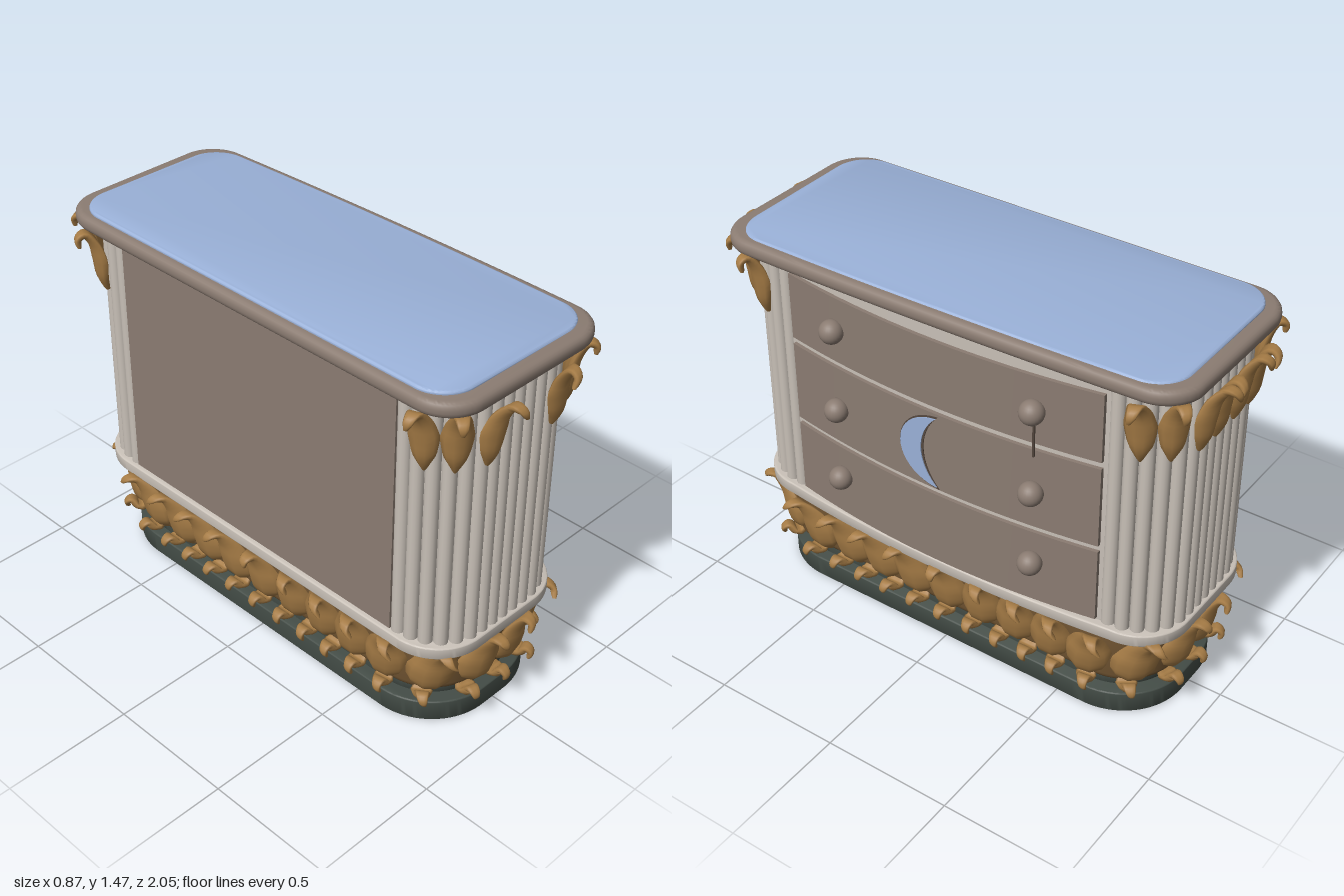
import * as THREE from 'three';
import { toCreasedNormals } from 'three/addons/utils/BufferGeometryUtils.js';

const paint = (name, color) => {
  const m = new THREE.MeshStandardMaterial({ color });
  m.name = name;
  return m;
};
const ivory = paint('ivory paint', 0xc8c0b7);
const taupe = paint('taupe wood', 0x8b7c72);
const gold = paint('antique gold', 0xa67c46);
const shade = paint('dark gold', 0x6e5230);
const blue = paint('pale blue', 0x9ab1d8);
const green = paint('dark green', 0x434c46);
const dark = paint('dark brown', 0x55483f);

const add = (parent, name, geometry, material) => {
  const m = new THREE.Mesh(geometry, material);
  m.name = name;
  parent.add(m);
  return m;
};

// Rounded plan outline in x and z, optionally bowed on the +x side
function outline(x0, x1, hz, r, bow = 0) {
  const c = hz - r, s = new THREE.Shape();
  s.moveTo(x1 + bow, 0);
  s.quadraticCurveTo(x1 + bow, c / 2, x1, c);
  s.absarc(x1 - r, c, r, 0, Math.PI / 2);
  s.lineTo(x0 + r, hz);
  s.absarc(x0 + r, c, r, Math.PI / 2, Math.PI);
  s.lineTo(x0, -c);
  s.absarc(x0 + r, -c, r, Math.PI, Math.PI * 1.5);
  s.lineTo(x1 - r, -hz);
  s.absarc(x1 - r, -c, r, -Math.PI / 2, 0);
  s.quadraticCurveTo(x1 + bow, -c / 2, x1 + bow, 0);
  return s;
}

// Horizontal plate from y0 to y1 with a rounded edge
function plate(shape, y0, y1, b = 0.006) {
  const g = new THREE.ExtrudeGeometry(shape, {
    depth: y1 - y0 - 2 * b, bevelEnabled: true, bevelSize: b, bevelThickness: b,
    bevelOffset: -b, bevelSegments: 4, curveSegments: 14,
  });
  g.rotateX(Math.PI / 2).translate(0, y1 - b, 0);
  return toCreasedNormals(g, 0.6);
}

// Points spaced along an outline, with the outward heading of each
function around(shape, n) {
  const p = shape.getSpacedPoints(n).slice(0, n);
  return p.map((q, i) => {
    const t = p[(i + 1) % n].clone().sub(p[(i + n - 1) % n]);
    return { x: q.x, z: q.y, turn: Math.atan2(t.y, -t.x) };
  });
}

// Cupped leaf lofted along a spine of [out, up, half width]
function leaf(spine, lean = 0, cup = 0.35) {
  const curve = new THREE.CatmullRomCurve3(spine.map(([o, u]) => new THREE.Vector3(0, u, o)));
  const K = 20, M = 10, pos = [], idx = [];
  for (let i = 0; i <= K; i++) {
    const t = i / K, p = curve.getPoint(t), d = curve.getTangent(t);
    const f = Math.min(t * (spine.length - 1), spine.length - 1.001), k = Math.floor(f);
    const w = THREE.MathUtils.lerp(spine[k][2], spine[k + 1][2], f - k);
    const thick = Math.min(w, 0.2 * w + 0.009);
    for (let j = 0; j < M; j++) {
      const a = (j / M) * Math.PI * 2, c = Math.cos(a);
      const n = thick * Math.sin(a) - cup * w * c * c;
      pos.push(w * c + lean * t * t, p.y - d.z * n, p.z + d.y * n);
      if (i < K) {
        const A = i * M + j, B = i * M + (j + 1) % M;
        idx.push(A, A + M, B, B, A + M, B + M);
      }
    }
  }
  const g = new THREE.BufferGeometry();
  g.setAttribute('position', new THREE.Float32BufferAttribute(pos, 3));
  g.setIndex(idx);
  g.computeVertexNormals();
  return g;
}

// Block following the bowed drawer front, with its face at x
function bowed(x, depth, y0, y1, hz) {
  const g = new THREE.BoxGeometry(depth, y1 - y0, hz * 2, 1, 1, 24).translate(x - depth / 2, (y0 + y1) / 2, 0);
  const p = g.attributes.position;
  for (let i = 0; i < p.count; i++) p.setX(i, p.getX(i) - 0.14 * p.getZ(i) ** 2);
  g.computeVertexNormals();
  return toCreasedNormals(g, 0.6);
}

function crescent(grow, depth) {
  const s = new THREE.Shape(), g = grow;
  s.moveTo(0.03 + g, 1.05 + g);
  s.bezierCurveTo(-0.175 - g, 1.03 + g, -0.175 - g, 0.78 - g, 0.03 + g, 0.76 - g);
  s.bezierCurveTo(-0.057 + g, 0.84, -0.057 + g, 0.97, 0.03 + g, 1.05 + g);
  return new THREE.ExtrudeGeometry(s, { depth, bevelEnabled: false, curveSegments: 20 }).rotateY(Math.PI / 2);
}

export function createModel() {
  const model = new THREE.Group();
  model.name = 'chest of drawers';
  const group = (name) => {
    const g = new THREE.Group();
    g.name = name;
    model.add(g);
    return g;
  };

  // Plinth and the core behind the petals
  add(model, 'plinth', plate(outline(-0.32, 0.32, 0.87, 0.26), 0, 0.085), green);
  add(model, 'plinthStep', plate(outline(-0.27, 0.27, 0.82, 0.22), 0.08, 0.14), green);
  add(model, 'petalCore', plate(outline(-0.3, 0.3, 0.85, 0.22), 0.13, 0.372, 0.03), shade);

  // Petal rings, leaning away from the middle of each side
  const petalRing = (name, n, spine, lean) => {
    const g = group(name);
    for (const p of around(outline(-0.25, 0.25, 0.8, 0.18), n)) {
      const side = Math.cos(p.turn) * p.x - Math.sin(p.turn) * p.z;
      const m = add(g, 'petal', leaf(spine, lean * Math.tanh(6 * side)), gold);
      m.position.set(p.x, 0, p.z);
      m.rotation.y = p.turn;
    }
  };
  petalRing('largePetals', 26, [[0.02, 0.13, 0.05], [0.062, 0.18, 0.085], [0.08, 0.25, 0.092],
    [0.095, 0.315, 0.062], [0.125, 0.36, 0.03], [0.152, 0.355, 0.02], [0.155, 0.33, 0.008]], 0.09);
  petalRing('smallPetals', 32, [[0.02, 0.16, 0.025], [0.055, 0.125, 0.04], [0.082, 0.13, 0.035],
    [0.1, 0.152, 0.025], [0.118, 0.14, 0.017], [0.112, 0.115, 0.006]], 0.02);

  // Body, bottom trim and flat back panel
  add(model, 'body', plate(outline(-0.32, 0.295, 0.88, 0.18), 0.38, 1.41), ivory);
  add(model, 'bottomTrim', plate(outline(-0.36, 0.335, 0.915, 0.2, 0.045), 0.367, 0.415), ivory);
  add(model, 'backPanel', new THREE.BoxGeometry(0.05, 0.985, 1.33).translate(-0.317, 0.9075, 0), taupe);

  // Reeded ends and corners
  const reeds = group('reeds');
  const reed = new THREE.CylinderGeometry(0.026, 0.026, 1.0, 14, 1, true);
  for (const p of around(outline(-0.32, 0.295, 0.88, 0.18), 84)) {
    if (Math.abs(p.z) < 0.675) continue;
    add(reeds, 'reed', reed, ivory).position.set(p.x, 0.905, p.z);
  }

  // Drawers in their bowed frame
  add(model, 'drawerFrame', bowed(0.372, 0.12, 0.4, 1.405, 0.675), ivory);
  const drawers = group('drawers');
  const rows = [[0.425, 0.722, 0.6], [0.748, 1.068, 0.9], [1.095, 1.358, 1.23]];
  for (const [y0, y1, knobY] of rows) {
    add(drawers, 'drawer', bowed(0.386, 0.08, y0, y1, 0.652), taupe);
    for (const z of [-0.415, 0.42]) {
      add(drawers, 'knob', new THREE.SphereGeometry(0.045, 24, 16), taupe).position.set(0.381, knobY, z);
    }
  }
  add(drawers, 'hangingPin', new THREE.CylinderGeometry(0.005, 0.005, 0.15, 8), dark).position.set(0.367, 1.12, -0.415);
  add(drawers, 'moonRim', crescent(0.008, 0.006), dark).position.x = 0.383;
  add(drawers, 'moon', crescent(0, 0.008), blue).position.x = 0.385;

  // Leaves under the top: three per corner and two more on the rear end
  const crown = group('crownLeaves');
  const spine = [[0.0, 1.15, 0.008], [0.022, 1.215, 0.042], [0.03, 1.29, 0.056], [0.045, 1.355, 0.042],
    [0.075, 1.395, 0.026], [0.1, 1.385, 0.018], [0.1, 1.355, 0.007]];
  const hang = (x, z, turn, lean) => {
    const m = add(crown, 'leaf', leaf(spine, lean), gold);
    m.position.set(x, 0, z);
    m.rotation.y = turn;
  };
  for (const sx of [-1, 1]) {
    for (const sz of [-1, 1]) {
      const cx = sx > 0 ? 0.12 : -0.145;
      for (const [deg, lean] of [[22, 0.03], [50, 0], [82, -0.06]]) {
        const a = THREE.MathUtils.degToRad(deg), nx = sx * Math.cos(a), nz = sz * Math.sin(a);
        hang(cx + 0.2 * nx, 0.705 * sz + 0.2 * nz, Math.atan2(nx, nz), lean * sx * sz);
      }
    }
    hang(sx * 0.06 - 0.01, -0.905, Math.PI, -sx * 0.04);
  }

  // Top slab with blue inlay, slightly wider at the front end
  const taper = (g, tilt) => {
    const p = g.attributes.position;
    for (let i = 0; i < p.count; i++) {
      const x = p.getX(i);
      if (x > 0) p.setX(i, x * (1 + 0.05 * p.getZ(i)));
      p.setY(i, p.getY(i) - tilt * x);
    }
    return g;
  };
  add(model, 'topSlab', taper(plate(outline(-0.4, 0.37, 0.943, 0.15, 0.012), 1.4, 1.459, 0.024), 0.005), taupe);
  add(model, 'topInlay', taper(plate(outline(-0.368, 0.338, 0.888, 0.13, 0.012), 1.44, 1.468, 0.01), 0.014), blue);
  return model;
}
